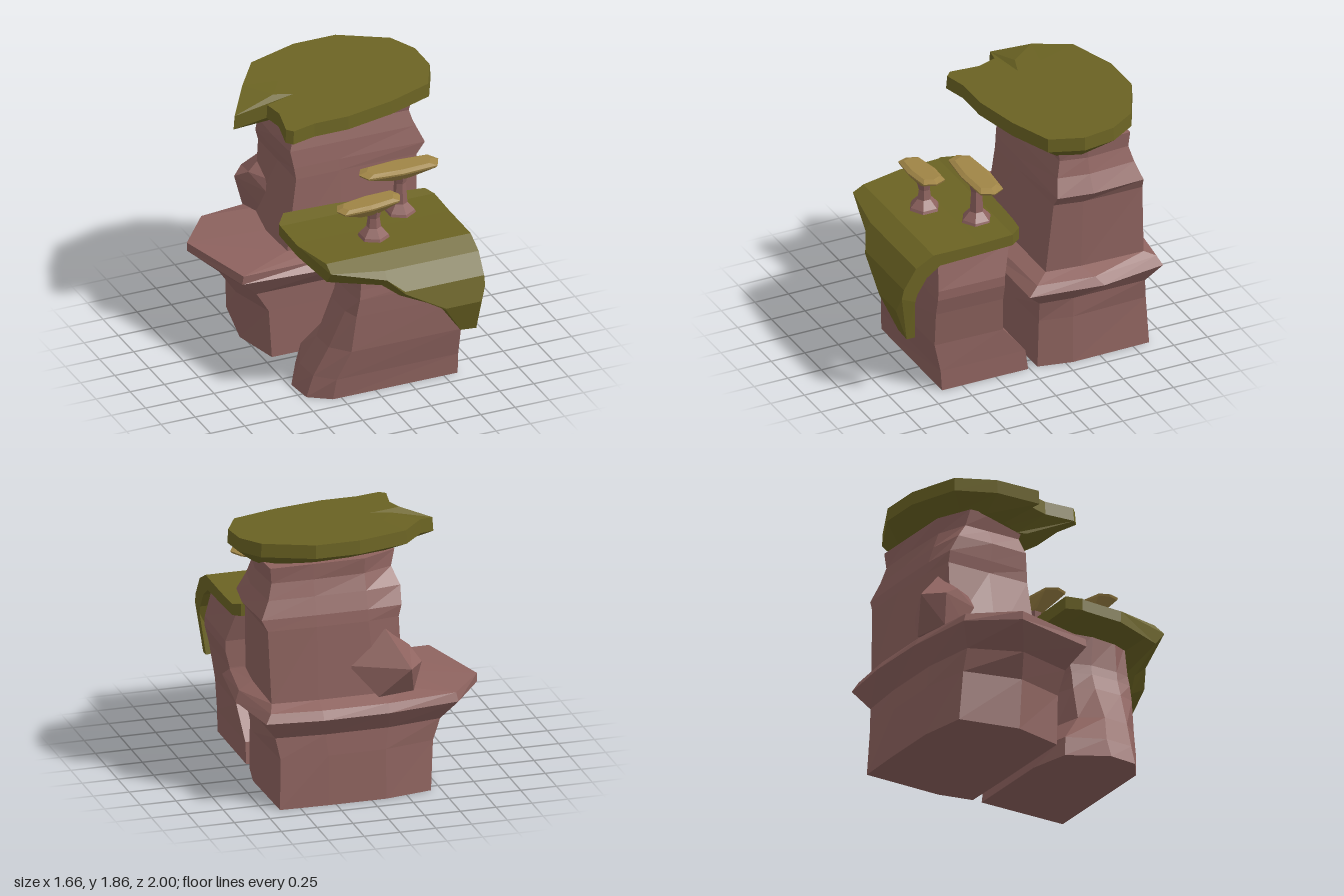
import * as THREE from 'three';

const mat = (name, color) => {
  const m = new THREE.MeshStandardMaterial({ color });
  m.name = name;
  return m;
};

// Faceted solid through rings of [x, y, z] points, closed at both ends
function loft(name, rings, material, stripCaps = false) {
  const pos = [];
  const tri = (a, b, c) => pos.push(...a, ...b, ...c);
  const quad = (a, b, c, d) => { tri(a, b, c); tri(a, c, d); };
  const n = rings[0].length;
  for (let r = 0; r < rings.length - 1; r++) {
    for (let i = 0; i < n; i++) {
      const j = (i + 1) % n;
      quad(rings[r][i], rings[r][j], rings[r + 1][j], rings[r + 1][i]);
    }
  }
  const cap = (ring) => {
    if (stripCaps) {
      for (let i = 0; i < n / 2 - 1; i++) quad(ring[i], ring[i + 1], ring[n - 2 - i], ring[n - 1 - i]);
    } else {
      const mid = [0, 1, 2].map((k) => ring.reduce((s, p) => s + p[k], 0) / n);
      ring.forEach((p, i) => tri(mid, p, ring[(i + 1) % n]));
    }
  };
  cap(rings[rings.length - 1]);
  cap([...rings[0]].reverse());
  const geo = new THREE.BufferGeometry();
  geo.setAttribute('position', new THREE.Float32BufferAttribute(pos, 3));
  geo.computeVertexNormals();
  const mesh = new THREE.Mesh(geo, material);
  mesh.name = name;
  return mesh;
}

// Horizontal ring at height y from [x, z] corners
const level = (y, pts) => pts.map(([x, z]) => [x, y, z]);

// Regular hexagon ring for stems
const hexagon = (y, r) => Array.from({ length: 6 }, (_, i) => {
  const a = ((i + .5) / 6) * Math.PI * 2;
  return [r * Math.cos(a), y, -r * Math.sin(a)];
});

// Stretched octagon ring for mushroom caps
const octagon = (y, rx, rz) => [[1, 0], [.85, -.82], [.05, -1], [-.85, -.75], [-1, 0], [-.88, .78], [-.05, 1], [.85, .85]]
  .map(([x, z]) => [x * rx, y, z * rz]);

// Point at fractional index u along a path
function along(path, u) {
  const i = Math.min(Math.floor(u), path.length - 2);
  return path[i].map((v, k) => v + (path[i + 1][k] - v) * (u - i));
}

export function createModel() {
  const rock = mat('rock', 0x8e635f);
  const moss = mat('moss', 0x6b6323);
  const capTan = mat('mushroom cap', 0xa08546);
  const model = new THREE.Group();
  model.name = 'mossyRocks';

  // Tall rear rock: wide foot with a jutting ledge
  model.add(loft('rearRockFoot', [
    level(0, [[.6, -.06], [.65, -.3], [.64, -.87], [.3, -.88], [-.1, -.88], [-.43, -.82], [-.52, -.4], [-.44, -.055], [.25, -.055]]),
    level(.35, [[.6, -.07], [.65, -.3], [.63, -.85], [.3, -.87], [-.1, -.87], [-.45, -.8], [-.55, -.4], [-.46, -.06], [.25, -.06]]),
    level(.5, [[.63, -.06], [.66, -.3], [.66, -.83], [.32, -.86], [-.12, -.86], [-.5, -.8], [-.65, -.45], [-.55, -.06], [.25, -.06]]),
    level(.64, [[.75, .07], [.82, -.45], [.75, -.92], [.36, -.965], [-.1, -.96], [-.6, -.89], [-.83, -.57], [-.69, .02], [0, .065]]),
    level(.7, [[.72, 0], [.78, -.4], [.71, -.89], [.36, -.93], [-.1, -.93], [-.59, -.87], [-.83, -.57], [-.68, .02], [0, .01]]),
    level(.74, [[.64, -.1], [.67, -.35], [.68, -.81], [.36, -.83], [-.05, -.83], [-.25, -.77], [-.31, -.45], [-.3, -.12], [.1, -.1]]),
  ], rock));

  // Rear rock: upper column
  model.add(loft('rearRockColumn', [
    level(.73, [[.64, -.1], [.67, -.35], [.68, -.81], [.36, -.83], [-.05, -.83], [-.25, -.77], [-.31, -.45], [-.3, -.12], [.1, -.1]]),
    level(1.25, [[.66, -.15], [.7, -.35], [.7, -.79], [.36, -.8], [0, -.8], [-.22, -.77], [-.22, -.45], [-.22, -.15], [.1, -.15]]),
    level(1.33, [[.72, -.15], [.76, -.4], [.74, -.78], [.36, -.79], [0, -.79], [-.24, -.77], [-.24, -.45], [-.23, -.16], [.1, -.16]]),
    level(1.45, [[.66, -.18], [.7, -.4], [.68, -.74], [.36, -.75], [0, -.75], [-.25, -.71], [-.26, -.45], [-.25, -.18], [.1, -.18]]),
    level(1.56, [[.63, -.21], [.67, -.4], [.65, -.71], [.36, -.72], [0, -.71], [-.21, -.63], [-.21, -.45], [-.21, -.21], [.1, -.21]]),
    level(1.67, [[.65, -.19], [.68, -.4], [.66, -.72], [.36, -.72], [0, -.72], [-.24, -.61], [-.25, -.45], [-.25, -.19], [.1, -.19]]),
  ], rock));

  // Pointed knob on the back of the column
  const knob = [[.14, .95, -.81], [-.04, .74, -.9], [-.3, .74, -.85], [-.35, .95, -.87], [-.3, 1.03, -.75], [-.12, 1.18, -.79]];
  model.add(loft('rearRockKnob', [
    knob.map(([x, y]) => [x * .7, y, -.58]), knob, knob.map(() => [-.24, .95, -1]),
  ], rock));

  // Low front rock
  model.add(loft('frontRock', [
    level(0, [[.6, .65], [.6, .01], [-.05, .01], [-.33, .08], [-.48, .35], [-.46, .55], [-.31, .65]]),
    level(.15, [[.6, .66], [.6, .03], [-.05, .03], [-.3, .1], [-.42, .35], [-.41, .55], [-.29, .665]]),
    level(.36, [[.6, .705], [.61, .2], [-.03, .2], [-.22, .25], [-.32, .4], [-.31, .58], [-.2, .705]]),
    level(.62, [[.64, .715], [.65, .22], [0, .22], [-.13, .27], [-.2, .4], [-.2, .6], [-.165, .71]]),
    level(.74, [[.67, .715], [.68, .22], [0, .22], [-.11, .27], [-.16, .4], [-.16, .6], [-.14, .71]]),
    level(.81, [[.67, .71], [.68, .22], [0, .22], [-.1, .26], [-.15, .4], [-.15, .6], [-.13, .7]]),
    level(1.03, [[.62, .69], [.62, .16], [0, .16], [-.12, .2], [-.17, .4], [-.16, .58], [-.12, .68]]),
  ], rock));

  // Overhanging moss slab on the rear rock, sloping down to the front and drooping at its left tip
  const outline = [[.83, -.3], [.82, -.52], [.72, -.7], [.39, -.87], [.08, -.87], [-.28, -.76], [-.45, -.53], [-.61, -.3],
    [-.4, -.23], [-.37, -.1], [-.41, .1], [-.37, .14], [-.2, .1], [.05, .1], [.4, .03], [.72, -.08]];
  const topY = (x, z) => 1.797 - .072 * z - Math.max(0, -.42 - x) * .43;
  const topRing = (s) => outline.map(([x, z]) => {
    const [xs, zs] = [.2 + (x - .2) * s, -.4 + (z + .4) * s];
    return [xs, topY(xs, zs), zs];
  });
  model.add(loft('rearMoss', [
    outline.map(([x, z]) => {
      const xi = Math.max(-.26, .2 + (x - .2) * .75);
      const zi = Math.min(-.18, -.45 + (z + .45) * .62);
      return [xi, 1.547 - .2 * zi - .03 * xi, zi];
    }),
    outline.map(([x, z]) => [x, topY(x, z) - .095, z]),
    topRing(.99), topRing(.62),
  ], moss));

  // Moss sheet on the front rock, hanging lower toward its left side ([z, y] paths)
  const outer = [[.04, 1.13], [.15, 1.1], [.4, 1.09], [.74, 1.09], [.87, 1.02], [.96, .88], [1, .71], [.92, .47]];
  const inner = [[.04, 1.04], [.15, 1.02], [.4, 1.01], [.69, 1], [.79, .93], [.86, .82], [.9, .69], [.86, .47]];
  // Each station: x, start and end along the paths
  const stations = [[-.47, .8, 2.1], [-.4, 0, 3.6], [-.03, .1, 4.4], [.08, .2, 5.1], [.36, .25, 6.05],
    [.5, .3, 6.95], [.615, .4, 7], [.655, 1, 5.4]];
  model.add(loft('frontMoss', stations.map(([x, from, to]) => {
    const us = outer.map((_, i) => Math.min(Math.max(i, from), to));
    const pts = (path) => us.map((u) => {
      const [z, y] = along(path, u);
      return [x, y, z];
    });
    return [...pts(outer), ...pts(inner).reverse()];
  }), moss, true));

  // Flat-topped mushrooms
  const mushroom = (name, x, z, capY, rx, rz, capShift, tilt) => {
    const g = new THREE.Group();
    g.name = name;
    g.position.set(x, 1.08, z);
    const h = capY - 1.08;
    g.add(loft('stem', [
      hexagon(0, .112), hexagon(.03, .1), hexagon(.085, .05), hexagon(h - .05, .04), hexagon(h + .01, .055),
    ], rock));
    const cap = loft('cap', [
      octagon(-.01, .08, .045), octagon(.05, rx * .97, rz * .97),
      octagon(.064, rx, rz), octagon(.08, rx * .8, rz * .7),
    ], capTan);
    cap.position.set(capShift, h, 0);
    cap.rotation.z = tilt;
    g.add(cap);
    return g;
  };
  model.add(mushroom('smallMushroom', .05, .51, 1.285, .23, .095, -.035, .07));
  model.add(mushroom('largeMushroom', .35, .27, 1.365, .29, .1, -.01, 0));

  return model;
}
